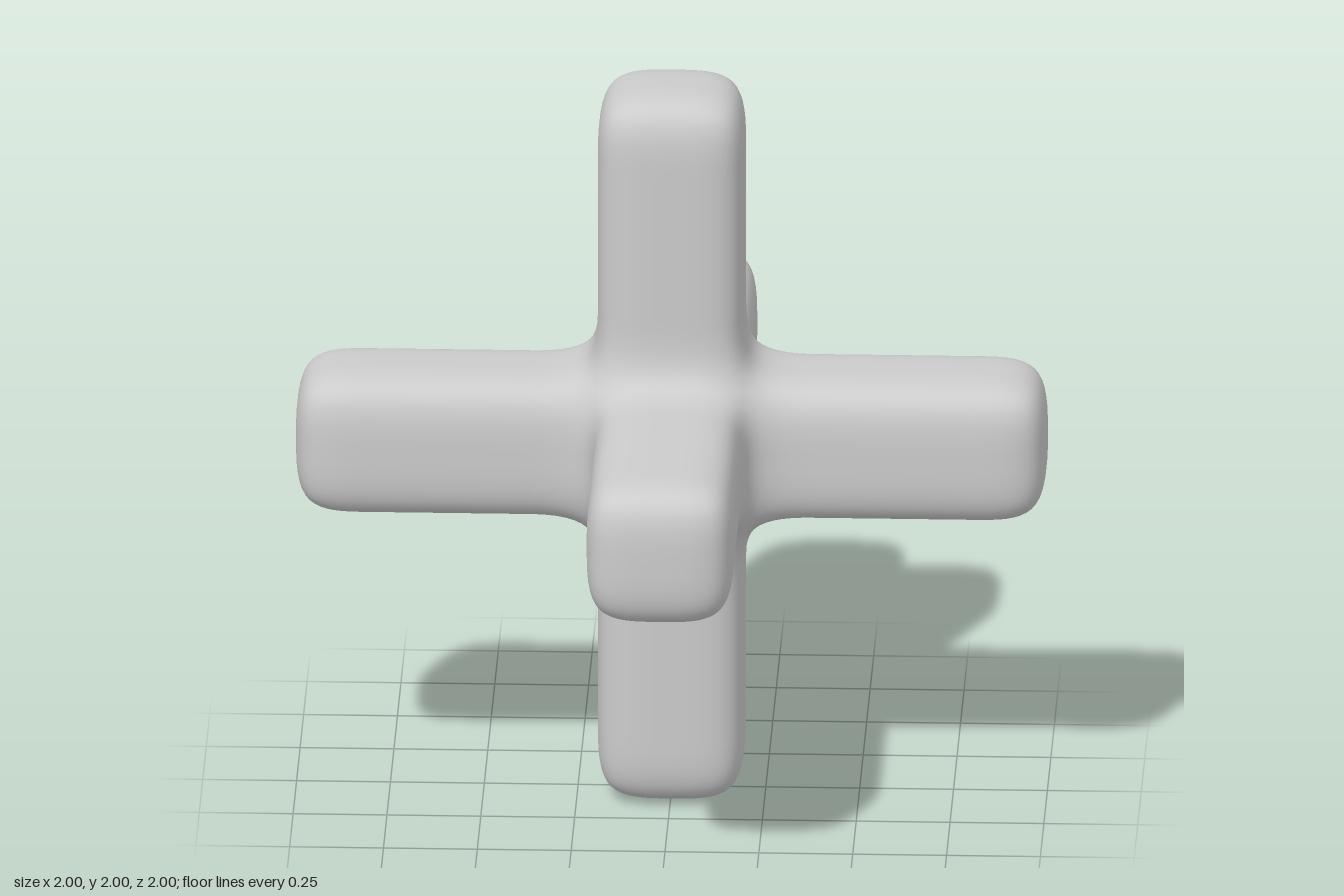
import * as THREE from 'three';

// Lattice lines along each half axis: arm half-width first, then even rings to the tip
const LINES = [0, 0.196, 0.4, 0.6, 0.8, 1];
const coord = (i) => Math.sign(i) * LINES[Math.abs(i)];

// Blocky quad cage of a cross with six square arms
function crossCage() {
  const points = [], quads = [], ids = new Map();
  const vertex = (p) => {
    const key = p.join();
    if (!ids.has(key)) {
      ids.set(key, points.length);
      points.push(new THREE.Vector3(...p.map(coord)));
    }
    return ids.get(key);
  };
  const core = (i) => i === -1 || i === 0;
  const solid = (c) => c.every((i) => i >= -5 && i < 5) && c.filter(core).length >= 2;

  for (let x = -5; x < 5; x++) for (let y = -5; y < 5; y++) for (let z = -5; z < 5; z++) {
    const cell = [x, y, z];
    if (!solid(cell)) continue;
    for (let a = 0; a < 3; a++) for (const s of [-1, 1]) {
      const next = [...cell];
      next[a] += s;
      if (solid(next)) continue;
      const quad = [[0, 0], [1, 0], [1, 1], [0, 1]].map(([u, v]) => {
        const p = [...cell];
        if (s > 0) p[a] += 1;
        p[(a + 1) % 3] += u;
        p[(a + 2) % 3] += v;
        return vertex(p);
      });
      quads.push(s > 0 ? quad : quad.reverse());
    }
  }
  return { points, quads };
}

// One Catmull-Clark step on a closed quad mesh
function smooth({ points, quads }) {
  const sum = () => new THREE.Vector3();
  const out = points.map(sum);
  const faceSum = points.map(sum), midSum = points.map(sum), valence = points.map(() => 0);
  const edges = new Map();
  const edgeKey = (a, b) => Math.min(a, b) * points.length + Math.max(a, b);

  // Face points, gathered to their corners and edges
  const faceIds = quads.map((q) => {
    const centre = sum();
    q.forEach((i) => centre.addScaledVector(points[i], 0.25));
    q.forEach((a, k) => {
      const b = q[(k + 1) % 4], key = edgeKey(a, b);
      faceSum[a].add(centre);
      if (!edges.has(key)) edges.set(key, { a, b, faces: sum() });
      edges.get(key).faces.add(centre);
    });
    return out.push(centre) - 1;
  });

  // Edge points
  for (const e of edges.values()) {
    const ends = points[e.a].clone().add(points[e.b]);
    for (const i of [e.a, e.b]) {
      midSum[i].addScaledVector(ends, 0.5);
      valence[i]++;
    }
    e.id = out.push(ends.add(e.faces).multiplyScalar(0.25)) - 1;
  }

  // Moved original points
  points.forEach((p, i) => {
    const n = valence[i];
    out[i].copy(p).multiplyScalar((n - 3) / n)
      .addScaledVector(faceSum[i], 1 / (n * n))
      .addScaledVector(midSum[i], 2 / (n * n));
  });

  const fine = [];
  quads.forEach((q, f) => q.forEach((a, k) => {
    const ahead = edges.get(edgeKey(a, q[(k + 1) % 4])).id;
    const behind = edges.get(edgeKey(q[(k + 3) % 4], a)).id;
    fine.push([a, ahead, faceIds[f], behind]);
  }));
  return { points: out, quads: fine };
}

export function createModel() {
  let mesh = crossCage();
  for (let i = 0; i < 3; i++) mesh = smooth(mesh);

  const geometry = new THREE.BufferGeometry().setFromPoints(mesh.points);
  geometry.setIndex(mesh.quads.flatMap(([a, b, c, d]) => [a, b, c, a, c, d]));
  geometry.computeVertexNormals();

  const cross = new THREE.Mesh(geometry, new THREE.MeshStandardMaterial({ color: 0xcccccc }));
  cross.name = 'sixArmedCross';
  cross.position.y = 1;

  const model = new THREE.Group();
  model.name = 'roundedCross';
  model.add(cross);
  return model;
}
